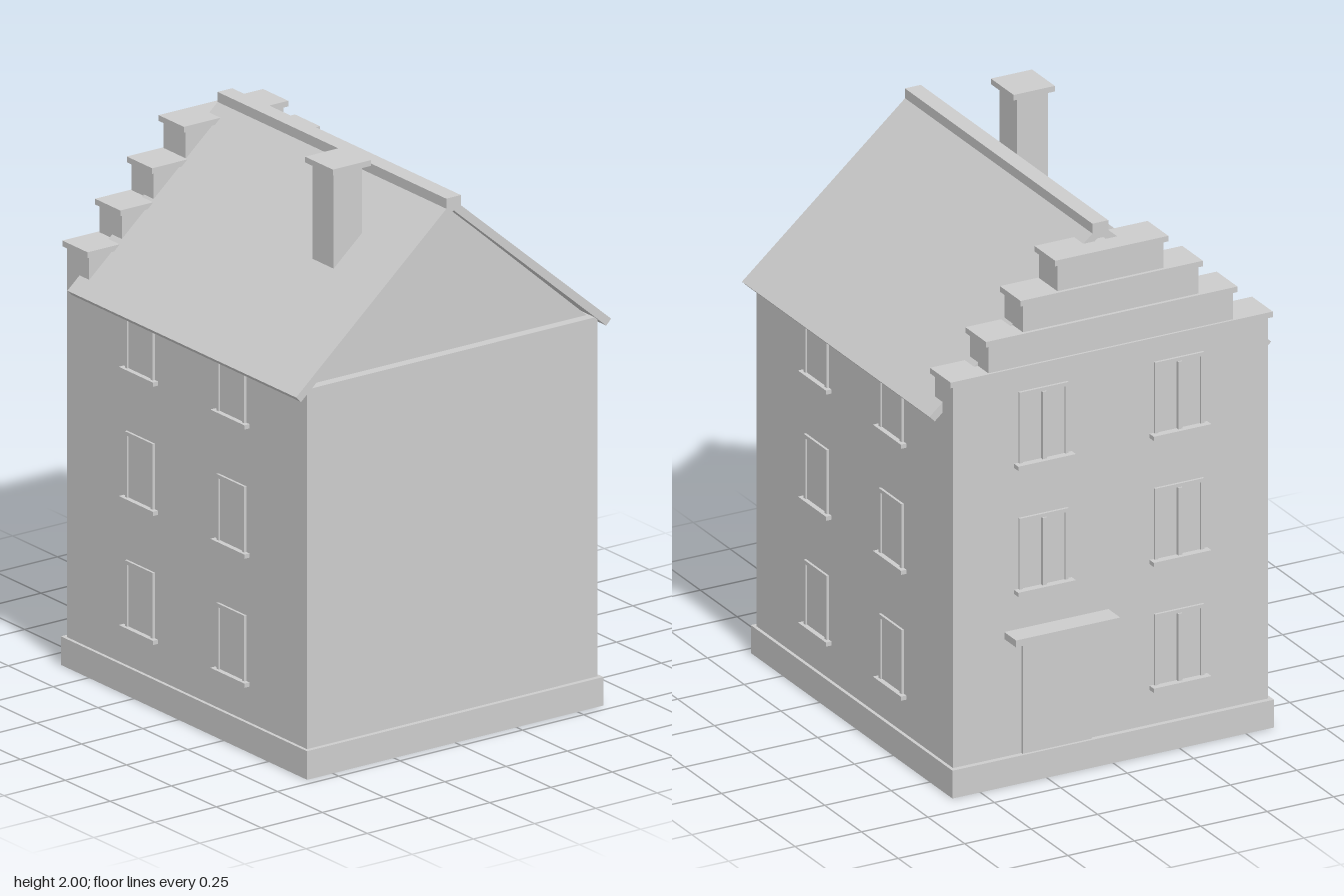
import * as THREE from 'three';

const stone = new THREE.MeshStandardMaterial({ color: 0xcccccc });
stone.name = 'pale grey';

// Box given by its minimum and maximum on each axis
function block(name, x0, x1, y0, y1, z0, z1) {
  const mesh = new THREE.Mesh(new THREE.BoxGeometry(x1 - x0, y1 - y0, z1 - z0), stone);
  mesh.position.set((x0 + x1) / 2, (y0 + y1) / 2, (z0 + z1) / 2);
  mesh.name = name;
  return mesh;
}

// Outline in x and y, extruded from z0 to z1
function prism(name, points, z0, z1) {
  const shape = new THREE.Shape(points.map(([x, y]) => new THREE.Vector2(x, y)));
  const geo = new THREE.ExtrudeGeometry(shape, { depth: z1 - z0, bevelEnabled: false });
  const mesh = new THREE.Mesh(geo, stone);
  mesh.position.z = z0;
  mesh.name = name;
  return mesh;
}

// Window facing +z, sitting on its sill, with its back on z = 0
function makeWindow(w, h, sillW, sillOut, double) {
  const g = new THREE.Group();
  g.name = 'window';
  const t = 0.013;
  const out = 0.009;
  g.add(block('sill', -sillW / 2, sillW / 2, -0.015, 0, -0.01, sillOut));
  for (const s of [-1, 1]) {
    const edge = s * w / 2, inner = s * (w / 2 - t);
    g.add(block('jamb', Math.min(edge, inner), Math.max(edge, inner), 0, h, -0.01, out));
  }
  g.add(block('lintel', -w / 2 + t, w / 2 - t, h - t, h, -0.01, out));
  g.add(block('pane', -w / 2 + t, w / 2 - t, 0, h - t, -0.005, 0.003));
  if (double) {
    g.add(block('mullion', -0.008, 0.008, 0, h - t, -0.005, 0.014));
  }
  return g;
}

export function createModel() {
  const house = new THREE.Group();
  house.name = 'house';

  // Walls and base
  house.add(block('plinth', -0.605, 0.605, 0, 0.1, -0.655, 0.717));
  house.add(block('walls', -0.593, 0.593, 0.1, 1.36, -0.637, 0.7));
  house.add(prism('frontGable', [[-0.585, 1.35], [0.585, 1.35], [0, 1.865]], -0.55, 0.665));

  // Pitched roof and ridge
  house.add(prism('roof', [
    [-0.643, 1.345], [-0.623, 1.325], [0, 1.863],
    [0.623, 1.325], [0.643, 1.345], [0, 1.9],
  ], -0.567, 0.708));
  house.add(block('ridge', -0.03, 0.03, 1.875, 1.91, -0.567, 0.708));

  // Stepped rear gable with coping stones
  const steps = [[0.593, 1.35, 1.47], [0.46, 1.49, 1.588], [0.33, 1.61, 1.708], [0.2, 1.73, 1.825]];
  for (const [w, y0, y1] of steps) {
    house.add(block('gableStep', -w, w, y0, y1, -0.637, -0.513));
    house.add(block('coping', -w - 0.013, w + 0.013, y1, y1 + 0.02, -0.645, -0.504));
  }

  // Chimney
  house.add(block('chimney', -0.296, -0.18, 1.64, 1.98, 0.325, 0.443));
  house.add(block('chimneyCap', -0.312, -0.157, 1.98, 2, 0.306, 0.461));

  // Door and canopy on the rear wall
  house.add(block('door', 0.075, 0.335, 0.1, 0.525, -0.645, -0.63));
  house.add(block('canopy', 0.008, 0.4, 0.523, 0.548, -0.717, -0.63));

  // Windows on three floors
  [0.24, 0.692, 1.145].forEach((y, floor) => {
    for (const x of [-0.255, 0.255]) {
      if (floor === 0 && x > 0) continue; // door takes this place
      const win = makeWindow(0.185, 0.255, 0.217, 0.029, true);
      win.position.set(x, y, -0.637);
      win.rotation.y = Math.PI;
      house.add(win);
    }
    for (const side of [-1, 1]) {
      for (const z of [0.285, -0.225]) {
        const win = makeWindow(0.155, 0.23, 0.19, 0.021, false);
        win.position.set(side * 0.593, y, z);
        win.rotation.y = side * Math.PI / 2;
        house.add(win);
      }
    }
  });

  return house;
}
